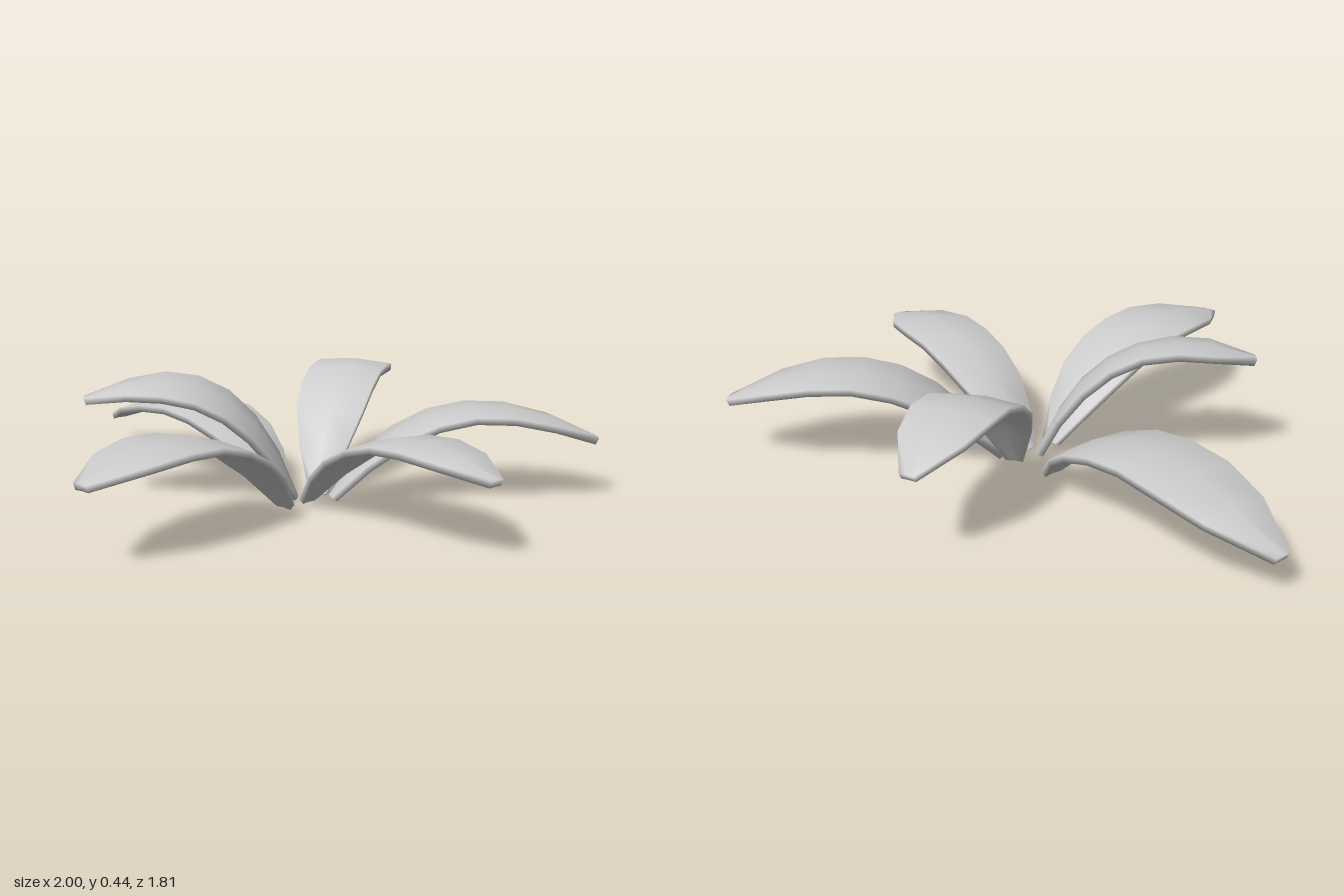
import * as THREE from 'three';

const V = (x, y, z) => new THREE.Vector3(x, y, z);

// Leaf outline: share of the full half width at even steps from base to tip
const OUTLINE = [0.22, 0.62, 0.88, 0.98, 1, 1, 0.8, 0.18];
// Thin, slightly arched cross-section: [across, side of the thickness]
const SECTION = [[-1, 1], [0, 1], [1, 1], [1, -1], [0, -1], [-1, -1]];
const HALF_THICKNESS = 0.012;
const ARCH = 0.08;

// The midrib is one smooth arc from base to tip that passes through middle
function leafGeometry(base, middle, tip, halfWidth, roll) {
  const control = middle.clone().multiplyScalar(2).addScaledVector(base, -0.5).addScaledVector(tip, -0.5);
  const midrib = new THREE.QuadraticBezierCurve3(base, control, tip);
  const n = SECTION.length, last = OUTLINE.length - 1;
  const positions = [], index = [];

  OUTLINE.forEach((share, i) => {
    const t = i / last, width = share * halfWidth;
    const center = midrib.getPoint(t), along = midrib.getTangent(t);
    const side = along.clone().cross(V(0, 1, 0)).normalize();
    // roll the middle of the leaf, leaving base and tip level
    side.y += roll * Math.sin(Math.PI * t);
    side.normalize();
    const normal = side.clone().cross(along).normalize();
    for (const [u, v] of SECTION) {
      const p = center.clone()
        .addScaledVector(side, u * width)
        .addScaledVector(normal, v * HALF_THICKNESS - u * u * ARCH * width);
      positions.push(p.x, p.y, p.z);
    }
  });

  // skin between neighbouring sections
  for (let i = 0; i < last; i++) {
    for (let j = 0; j < n; j++) {
      const a = i * n + j, b = i * n + (j + 1) % n;
      index.push(a, b, a + n, b, b + n, a + n);
    }
  }
  // caps at the base and the tip
  const end = last * n;
  for (let j = 1; j < n - 1; j++) {
    index.push(0, j + 1, j, end, end + j, end + j + 1);
  }

  const geometry = new THREE.BufferGeometry();
  geometry.setAttribute('position', new THREE.Float32BufferAttribute(positions, 3));
  geometry.setIndex(index);
  geometry.computeVertexNormals();
  return geometry;
}

export function createModel() {
  const model = new THREE.Group();
  model.name = 'leafyPlant';
  const material = new THREE.MeshStandardMaterial({ color: 0xcccccc });

  const addLeaf = (name, base, middle, tip, halfWidth, roll = 0) => {
    const leaf = new THREE.Mesh(leafGeometry(base, middle, tip, halfWidth, roll), material);
    leaf.name = name;
    model.add(leaf);
  };

  addLeaf('backLeaf', V(0.06, 0.01, -0.12), V(0.035, 0.38, -0.46), V(0.045, 0.31, -0.9), 0.14);
  addLeaf('backLeftLeaf', V(0.12, 0.01, -0.1), V(0.5, 0.31, -0.28), V(0.99, 0.21, -0.46), 0.145);
  addLeaf('frontLeftLeaf', V(0.045, 0.01, -0.04), V(0.38, 0.29, 0.14), V(0.795, 0.26, 0.4), 0.135);
  addLeaf('frontLeaf', V(0, 0.01, 0.05), V(-0.15, 0.31, 0.4), V(-0.33, 0.27, 0.89), 0.155);
  addLeaf('rightLeaf', V(0, 0.01, -0.04), V(-0.27, 0.38, 0.05), V(-0.68, 0.37, 0.22), 0.135, 0.18);
  addLeaf('backRightLeaf', V(-0.09, 0.01, -0.16), V(-0.46, 0.25, -0.34), V(-0.985, 0.12, -0.6), 0.16);

  return model;
}
